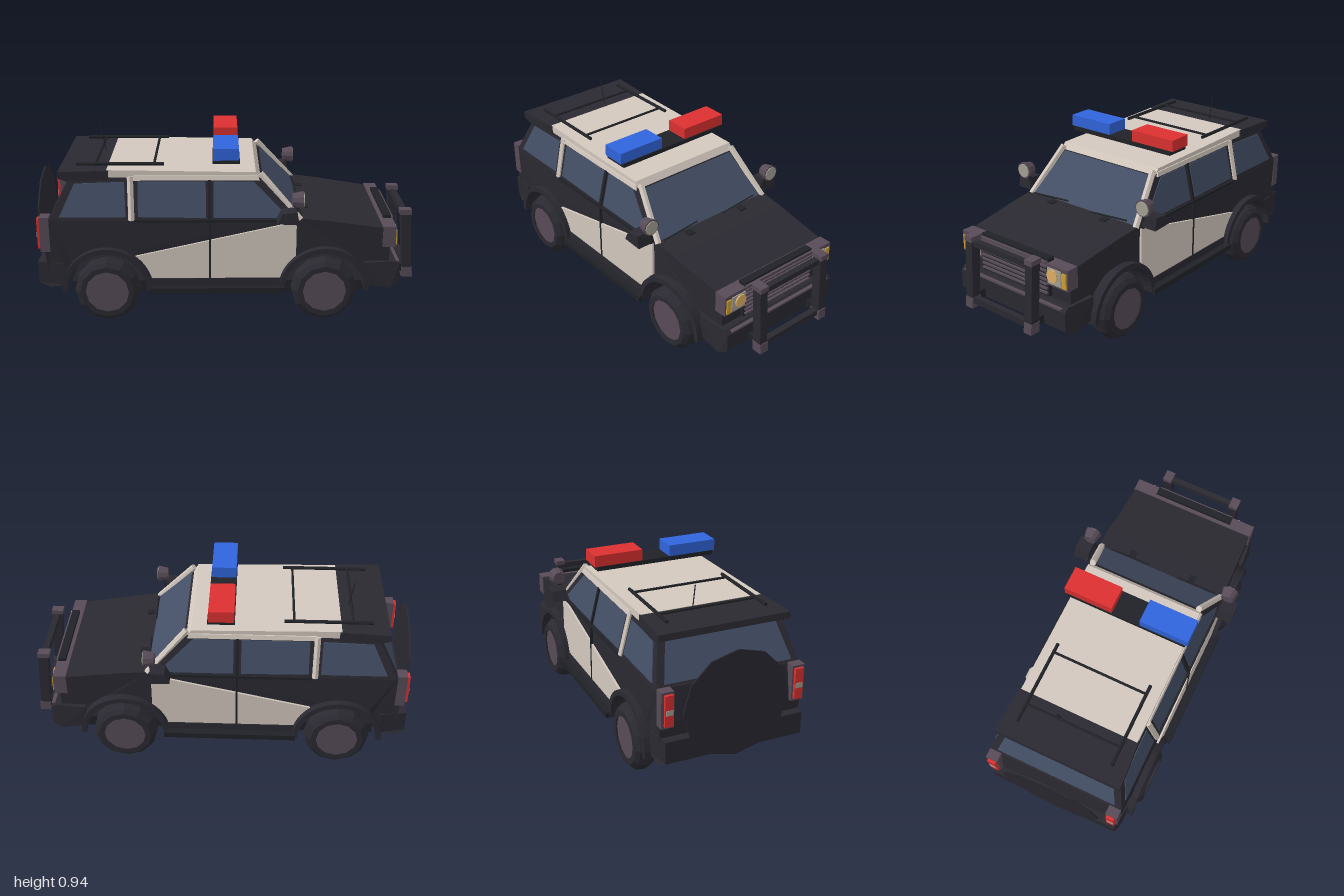
import * as THREE from 'three';

const COLORS = {
  black: 0x2a2931, trim: 0x202227, cream: 0xd3c8be, glass: 0x444f66, grey: 0x574b57,
  blue: 0x3065dc, red: 0xdc3030, amber: 0xd0a030, lamp: 0xe0b068, lens: 0xa5a195,
};
const mats = {};
for (const k in COLORS) {
  mats[k] = new THREE.MeshStandardMaterial({ color: COLORS[k], flatShading: true, side: THREE.DoubleSide });
}
const V = (x, y, z) => new THREE.Vector3(x, y, z);
const WHEELS = [-0.63, 0.5], AXLE = 0.175;
const lerp = THREE.MathUtils.mapLinear;
// half-width of the glasshouse and of the lower body
const cabinZ = (x, y) => lerp(y, 0.55, 0.78, 0.378, 0.322);
const bodyZ = (x, y) => (x > 0.35 ? lerp(x, 0.35, 0.86, 0.375, 0.355) : 0.375) - (y < 0.3 ? 0.01 : 0);

export function createModel() {
  const car = new THREE.Group();
  car.name = 'policeCar';

  const add = (name, geo, color, x = 0, y = 0, z = 0) => {
    const m = new THREE.Mesh(geo, mats[color]);
    m.name = name;
    m.position.set(x, y, z);
    car.add(m);
    return m;
  };
  // box given by its limits on each axis
  const box = (name, color, [x0, x1], [y0, y1], [z0, z1]) => add(name,
    new THREE.BoxGeometry(x1 - x0, y1 - y0, Math.abs(z1 - z0)), color, (x0 + x1) / 2, (y0 + y1) / 2, (z0 + z1) / 2);
  const poly = (pts) => new THREE.Shape(pts.map(([x, y]) => new THREE.Vector2(x, y)));
  // side profile extruded across z, each vertex moved by rule(x, y, t), t = -0.5..0.5
  const profile = (name, color, shape, rule) => {
    const geo = new THREE.ExtrudeGeometry(shape, { depth: 1, bevelEnabled: false, curveSegments: 10 });
    const p = geo.attributes.position;
    for (let i = 0; i < p.count; i++) p.setZ(i, rule(p.getX(i), p.getY(i), p.getZ(i) - 0.5));
    geo.computeVertexNormals();
    return add(name, geo, color);
  };
  const across = (wide) => (x, y, t) => 2 * t * wide(x, y);
  const skin = (s, wide, thick, off = 0) => (x, y, t) => s * (wide(x, y) + off) + t * thick;
  const rod = (name, color, a, b, r, sides = 6) => {
    const m = add(name, new THREE.CylinderGeometry(r, r, a.distanceTo(b), sides), color);
    m.position.copy(a).add(b).multiplyScalar(0.5);
    m.quaternion.setFromUnitVectors(V(0, 1, 0), b.clone().sub(a).normalize());
    return m;
  };
  // symmetric sloping pane from (x, y, half-width) at its base and its top
  const pane = (name, color, [x0, y0, w0], [x1, y1, w1]) => {
    const geo = new THREE.BufferGeometry().setFromPoints([
      V(x0, y0, w0), V(x0, y0, -w0), V(x1, y1, -w1), V(x1, y1, w1)]);
    geo.setIndex([0, 1, 2, 0, 2, 3]);
    geo.computeVertexNormals();
    return add(name, geo, color);
  };

  // lower body with open wheel arches
  const body = new THREE.Shape();
  body.moveTo(-0.93, 0.21);
  body.lineTo(-0.84, AXLE);
  for (const x of WHEELS) body.absarc(x, AXLE, 0.21, Math.PI, 0, true);
  [[0.84, 0.21], [0.84, 0.49], [0.8, 0.505], [0.5, 0.55], [0.36, 0.565], [-0.92, 0.565], [-0.95, 0.4]]
    .forEach(([x, y]) => body.lineTo(x, y));
  profile('body', 'black', body, across(bodyZ));
  box('underbody', 'trim', [-0.83, 0.72], [0.12, 0.18], [-0.285, 0.285]);

  // glasshouse, roof and rear spoiler
  profile('cabin', 'black', poly([[-0.92, 0.555], [-0.81, 0.77], [0.16, 0.77], [0.365, 0.555]]), across(cabinZ));
  profile('roof', 'cream', poly([[-0.62, 0.76], [-0.62, 0.81], [0.14, 0.797], [0.165, 0.765]]), across(() => 0.323));
  profile('roofSpoiler', 'black', poly([[-0.82, 0.755], [-0.87, 0.775], [-0.865, 0.807], [-0.61, 0.808], [-0.61, 0.758]]),
    across((x) => lerp(x, -0.87, -0.61, 0.345, 0.328)));
  pane('windshield', 'glass', [0.366, 0.565, 0.345], [0.176, 0.765, 0.29]);
  pane('rearWindow', 'glass', [-0.913, 0.58, 0.335], [-0.822, 0.755, 0.29]);

  for (const s of [1, -1]) {
    // windows and pillars
    [['rearQuarterWindow', [[-0.865, 0.575], [-0.785, 0.742], [-0.53, 0.75], [-0.525, 0.575]]],
      ['rearDoorWindow', [[-0.462, 0.575], [-0.462, 0.75], [-0.115, 0.75], [-0.115, 0.57]]],
      ['frontDoorWindow', [[-0.075, 0.57], [-0.075, 0.75], [0.13, 0.75], [0.295, 0.585], [0.25, 0.57]]],
    ].forEach(([n, pts]) => profile(n, 'glass', poly(pts), skin(s, cabinZ, 0.006, 0.001)));
    profile('middlePillar', 'trim', poly([[-0.103, 0.56], [-0.103, 0.76], [-0.087, 0.76], [-0.087, 0.56]]), skin(s, cabinZ, 0.02));
    profile('windowTopRail', 'cream', poly([[-0.5, 0.757], [-0.5, 0.78], [0.15, 0.78], [0.16, 0.757]]), skin(s, cabinZ, 0.014));
    rod('frontPillar', 'cream', V(0.37, 0.555, s * 0.362), V(0.165, 0.787, s * 0.308), 0.018);
    rod('rearPillar', 'cream', V(-0.495, 0.555, s * 0.375), V(-0.5, 0.775, s * 0.323), 0.018);

    // doors, trimmed around the arches
    const door = new THREE.Shape();
    door.moveTo(-0.48, 0.55);
    door.absarc(WHEELS[0], AXLE, 0.24, 0.896, 0.274, true);
    door.absarc(WHEELS[1], AXLE, 0.24, Math.PI - 0.274, Math.PI - 0.896, true);
    door.lineTo(0.35, 0.55);
    profile('doors', 'cream', door, skin(s, () => 0.378, 0.014));
    box('doorGap', 'trim', [-0.1, -0.09], [0.24, 0.55], [s * 0.37, s * 0.388]);
    box('beltLine', 'trim', [-0.48, 0.34], [0.548, 0.562], [s * 0.365, s * 0.388]);
    box('runningBoard', 'trim', [-0.41, 0.29], [0.17, 0.2], [s * 0.34, s * 0.428]);
    box('sill', 'black', [-0.4, 0.28], [0.175, 0.24], [s * 0.34, s * 0.39]);

    for (const x of WHEELS) {
      // fender flare
      const arch = new THREE.Shape();
      arch.absarc(x, AXLE, 0.235, 0, Math.PI, false);
      arch.absarc(x, AXLE, 0.208, Math.PI, 0, true);
      profile('fenderFlare', 'black', arch, skin(s, () => 0.385, 0.05));
      // tyre and hub
      const tyre = [[0.11, -0.06], [0.14, -0.06], [0.162, -0.04], [0.171, -0.018], [0.171, 0.018], [0.162, 0.04],
        [0.14, 0.06], [0.113, 0.06]].map(([r, h]) => new THREE.Vector2(r, h));
      add('tyre', new THREE.LatheGeometry(tyre, 12), 'black', x, AXLE, s * 0.36).rotation.x = Math.PI / 2;
      add('hub', new THREE.CylinderGeometry(0.114, 0.114, 0.1, 12), 'grey', x, AXLE, s * 0.36).rotation.x = Math.PI / 2;
    }

    // door mirror and spotlight
    profile('mirror', 'black', poly([[0.245, 0.57], [0.27, 0.625], [0.345, 0.632], [0.355, 0.565]]),
      skin(s, () => 0.432, 0.084));
    rod('spotlightStem', 'trim', V(0.34, 0.56, s * 0.375), V(0.345, 0.65, s * 0.41), 0.01);
    const spot = add('spotlight', new THREE.CylinderGeometry(0.046, 0.034, 0.055, 10), 'grey', 0.35, 0.677, s * 0.41);
    spot.rotation.z = -Math.PI / 2;
    add('spotlightLens', new THREE.CylinderGeometry(0.038, 0.038, 0.01, 10), 'lens', 0.377, 0.677, s * 0.41)
      .rotation.z = Math.PI / 2;

    // headlight cluster
    box('headlightHousing', 'grey', [0.8, 0.868], [0.4, 0.512], [s * 0.228, s * 0.362]);
    box('headlightLens', 'lens', [0.86, 0.873], [0.412, 0.495], [s * 0.234, s * 0.32]);
    box('turnSignal', 'amber', [0.85, 0.875], [0.412, 0.49], [s * 0.326, s * 0.354]);
    add('headlight', new THREE.CylinderGeometry(0.034, 0.034, 0.02, 12), 'lamp', 0.87, 0.458, s * 0.268)
      .rotation.z = Math.PI / 2;

    // rear light cluster
    box('rearLightHousing', 'grey', [-0.97, -0.92], [0.385, 0.572], [s * 0.31, s * 0.375]);
    box('rearLight', 'red', [-0.985, -0.965], [0.4, 0.56], [s * 0.318, s * 0.362]);
    box('reverseLight', 'lens', [-0.988, -0.98], [0.46, 0.485], [s * 0.322, s * 0.358]);

    // push bar upright with its mount and end caps
    const upright = skin(s, () => 0.206, 0.046);
    profile('pushBarUpright', 'black', poly([[0.94, 0.18], [0.912, 0.55], [0.965, 0.55], [0.988, 0.18]]), upright);
    profile('pushBarTopCap', 'grey', poly([[0.908, 0.53], [0.906, 0.556], [0.969, 0.556], [0.971, 0.53]]), skin(s, () => 0.206, 0.05));
    profile('pushBarFootCap', 'grey', poly([[0.936, 0.175], [0.932, 0.23], [0.989, 0.23], [0.993, 0.175]]), skin(s, () => 0.206, 0.05));
    box('pushBarMount', 'trim', [0.84, 0.95], [0.205, 0.245], [s * 0.188, s * 0.224]);

    // roof rack rail, wiper and hood vent
    rod('rackRail', 'trim', V(-0.78, 0.825, s * 0.26), V(-0.33, 0.825, s * 0.26), 0.009);
    rod('wiper', 'trim', V(0.375, 0.565, s * 0.2 + 0.13), V(0.365, 0.578, s * 0.2 - 0.1), 0.005, 4);
    box('hoodVent', 'trim', [0.38, 0.42], [0.555, 0.566], [s * 0.16, s * 0.2]);

    // light bar lens
    box('lightBarLens', s > 0 ? 'blue' : 'red', [-0.077, 0.053], [0.865, 0.926], [s * 0.078, s * 0.345]);
  }

  // grille
  box('grille', 'trim', [0.82, 0.86], [0.33, 0.53], [-0.23, 0.23]);
  for (let i = 0; i < 8; i++) {
    const y = 0.345 + i * 0.0235;
    box('grilleSlat', 'grey', [0.855, 0.872], [y, y + 0.009], [-0.225, 0.225]);
  }
  box('noseTrim', 'grey', [0.8, 0.866], [0.497, 0.512], [-0.362, 0.362]);

  // bumpers
  profile('frontBumper', 'black', poly([[0.71, 0.2], [0.71, 0.32], [0.87, 0.32], [0.895, 0.3], [0.895, 0.2], [0.85, 0.175]]),
    across((x) => (x > 0.86 ? 0.362 : 0.378)));
  box('frontBumperStrip', 'grey', [0.86, 0.898], [0.304, 0.313], [-0.335, 0.335]);
  profile('rearBumper', 'black', poly([[-0.85, 0.2], [-0.85, 0.32], [-0.99, 0.325], [-0.99, 0.21], [-0.93, 0.19]]),
    across((x) => (x < -0.95 ? 0.362 : 0.378)));
  // push bar cross members
  box('pushBarTopRail', 'black', [0.925, 0.957], [0.505, 0.535], [-0.2, 0.2]);
  box('pushBarLowRail', 'black', [0.948, 0.98], [0.2, 0.232], [-0.2, 0.2]);

  // spare wheel cover
  add('spareWheelCover', new THREE.CylinderGeometry(0.275, 0.275, 0.008, 12), 'black', -0.992, 0.455, 0)
    .rotation.z = Math.PI / 2;

  // roof equipment
  box('lightBarBase', 'trim', [-0.08, 0.058], [0.843, 0.866], [-0.332, 0.332]);
  for (const x of [-0.68, -0.38]) rod('rackCrossBar', 'trim', V(x, 0.825, -0.26), V(x, 0.825, 0.26), 0.007);
  rod('antenna', 'trim', V(-0.665, 0.805, -0.075), V(-0.69, 0.945, -0.075), 0.003, 4);
  return car;
}
